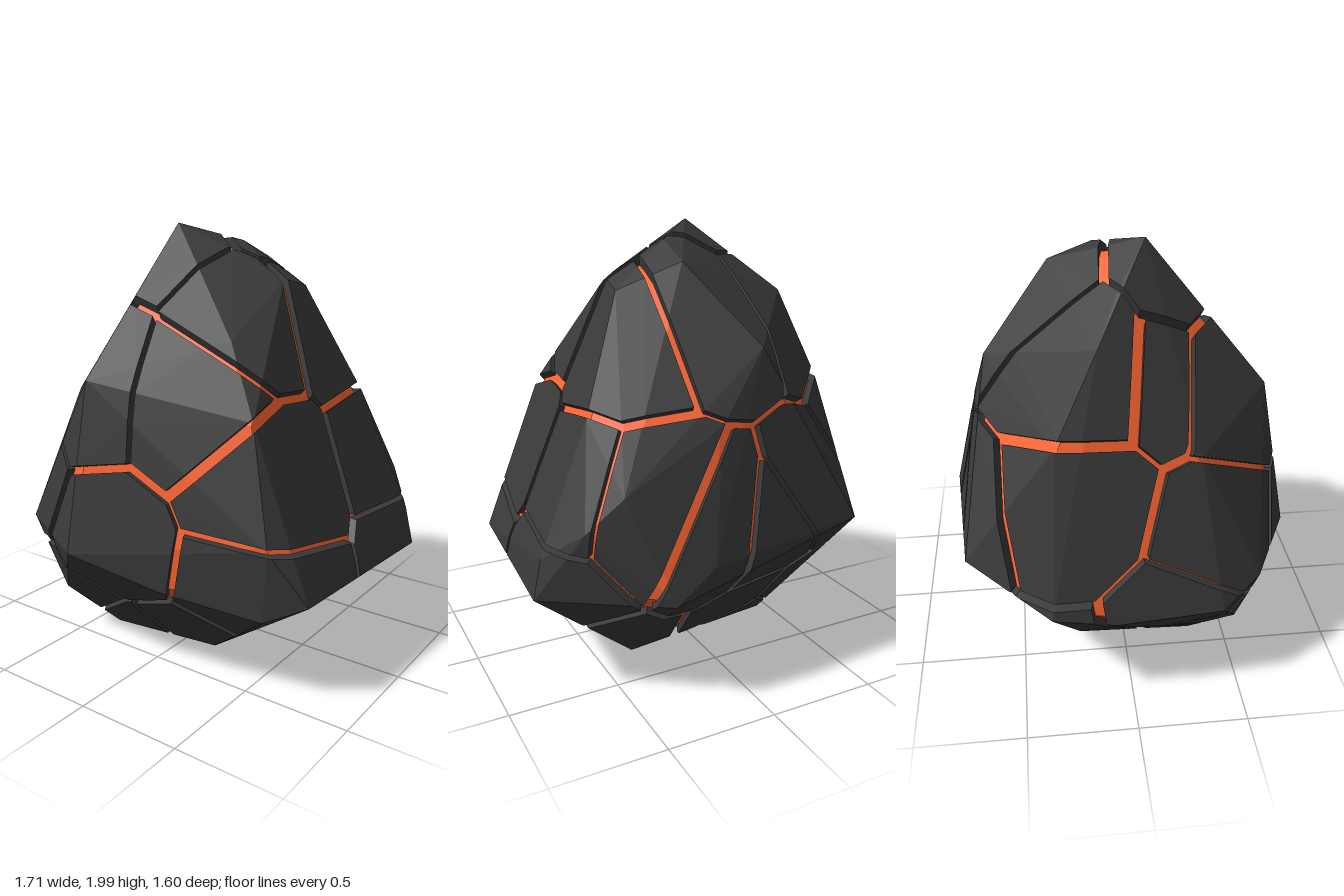
import * as THREE from 'three';
import { ConvexGeometry } from 'three/addons/geometries/ConvexGeometry.js';

const V = (p) => new THREE.Vector3(...p);
const CENTRE = new THREE.Vector3(0, 0.8, 0);

// Corners of the faceted boulder
const corners = [
  // crown
  [-0.15, 2, 0.11], [0.07, 1.92, -0.1], [0.08, 1.84, -0.3], [0.33, 1.76, -0.04], [0.35, 1.72, -0.2],
  [-0.33, 1.83, -0.03], [-0.53, 1.67, -0.13],
  // shoulders
  [-0.25, 1.34, 0.65], [0.3, 1.52, 0.33], [0.5, 1.22, 0.46], [0.57, 1.22, -0.38], [-0.15, 1.5, -0.6],
  [0.08, 1.2, -0.67], [-0.63, 1.2, 0.3], [-0.63, 1.28, -0.32], [0.52, 0.95, -0.65],
  // belly
  [-0.26, 0.575, 0.8], [0.17, 0.46, 0.68], [0.64, 0.72, 0.56], [0.62, 0.4, 0.56], [0.79, 0.48, 0.47],
  [0.85, 0.48, -0.44], [0.81, 0.66, -0.43], [0.67, 0.8, -0.59], [0.36, 0.5, -0.8], [0.18, 0.64, -0.8],
  [-0.22, 0.65, -0.73], [-0.59, 0.7, -0.73], [-0.86, 0.56, -0.36], [-0.85, 0.5, -0.08],
  [-0.81, 0.5, 0.4], [-0.7, 0.6, 0.58],
  // base
  [-0.56, 0.23, 0.52], [-0.39, 0.01, 0.33], [0.17, 0.02, 0.27], [0.35, 0.05, -0.32], [-0.41, 0.05, -0.22],
].map(V);

// One centre per rock plate; a fourth number shrinks the plate
const seeds = [
  // front
  [-0.15, 0.57, 0.75], [-0.32, 1.3, 0.56], [0.24, 1.32, 0.48], [0.55, 0.95, 0.36], [0.52, 0.45, 0.42],
  [-0.62, 0.8, 0.45], [-0.48, 0.2, 0.48],
  // crown
  [-0.17, 1.8, 0.2, 0.13], [0.36, 1.6, 0.3], [0.38, 1.5, -0.32], [-0.02, 1.6, -0.4], [-0.44, 1.52, -0.3],
  [-0.5, 1.5, 0.16, 0.1],
  // sides
  [0.68, 0.95, -0.4], [0.75, 0.45, -0.38], [-0.64, 1.0, -0.32], [-0.8, 0.4, 0.24],
  // back
  [0.41, 0.9, -0.67], [0.12, 0.74, -0.74], [-0.16, 0.68, -0.74], [-0.43, 0.85, -0.7],
  // underside
  [-0.32, 0.08, 0.32], [0.14, 0.1, 0.36], [0.4, 0.13, -0.4], [-0.08, 0.2, -0.5], [-0.6, 0.26, -0.36],
  [-0.24, 0.05, -0.1],
].map(([x, y, z, shrink = 0]) => ({ point: V([x, y, z]), shrink }));

// Planes between a plate and every other, pulled back by the crack width
function borders(i) {
  const { point, shrink } = seeds[i];
  return seeds.flatMap((other, j) => {
    if (j === i) return [];
    const normal = point.clone().sub(other.point);
    const share = 0.5 + (other.shrink - shrink) / (2 * normal.lengthSq());
    const between = point.clone().lerp(other.point, share);
    const gap = 0.012 + 0.006 * ((i + j) % 3);
    normal.normalize();
    between.addScaledVector(normal, gap);
    return [new THREE.Plane().setFromNormalAndCoplanarPoint(normal, between)];
  });
}

// Keep the part of a polygon in front of a plane
function clip(polygon, plane) {
  const kept = [];
  polygon.forEach((a, k) => {
    const b = polygon[(k + 1) % polygon.length];
    const da = plane.distanceToPoint(a), db = plane.distanceToPoint(b);
    if (da >= 0) kept.push(a);
    if (da * db < 0) kept.push(a.clone().lerp(b, da / (da - db)));
  });
  return kept;
}

// Facets trimmed to the plate outline, with walls running inward along the cracks
function plateGeometry(facets, planes) {
  const positions = [];
  const tri = (...points) => points.forEach((p) => positions.push(p.x, p.y, p.z));
  const inward = (p) => p.clone().lerp(CENTRE, 0.1);
  for (const facet of facets) {
    const polygon = planes.reduce(clip, facet);
    for (let k = 1; k < polygon.length - 1; k++) tri(polygon[0], polygon[k], polygon[k + 1]);
    polygon.forEach((a, k) => {
      const b = polygon[(k + 1) % polygon.length];
      const onCrack = planes.some((p) =>
        Math.abs(p.distanceToPoint(a)) < 1e-5 && Math.abs(p.distanceToPoint(b)) < 1e-5);
      if (!onCrack) return;
      const c = inward(a), d = inward(b);
      tri(a, c, b);
      tri(b, c, d);
    });
  }
  const geometry = new THREE.BufferGeometry();
  geometry.setAttribute('position', new THREE.Float32BufferAttribute(positions, 3));
  geometry.computeVertexNormals();
  return geometry;
}

export function createModel() {
  const group = new THREE.Group();
  group.name = 'crackedLavaRock';
  const rock = new THREE.MeshStandardMaterial({ color: 0x3a3a3a, flatShading: true });
  const lava = new THREE.MeshStandardMaterial({ color: 0xff6633, flatShading: true });

  const hull = new ConvexGeometry(corners);
  const position = hull.getAttribute('position');
  const facets = [];
  for (let i = 0; i < position.count; i += 3) {
    facets.push([0, 1, 2].map((k) => new THREE.Vector3().fromBufferAttribute(position, i + k)));
  }

  // Dark crust plates
  seeds.forEach((_, i) => {
    const plate = new THREE.Mesh(plateGeometry(facets, borders(i)), rock);
    plate.name = `crustPlate${i + 1}`;
    group.add(plate);
  });

  // Glowing core seen through the cracks
  const core = new THREE.Mesh(
    new ConvexGeometry(corners.map((p) => p.clone().lerp(CENTRE, 0.045))), lava);
  core.name = 'lavaCore';
  group.add(core);
  return group;
}
